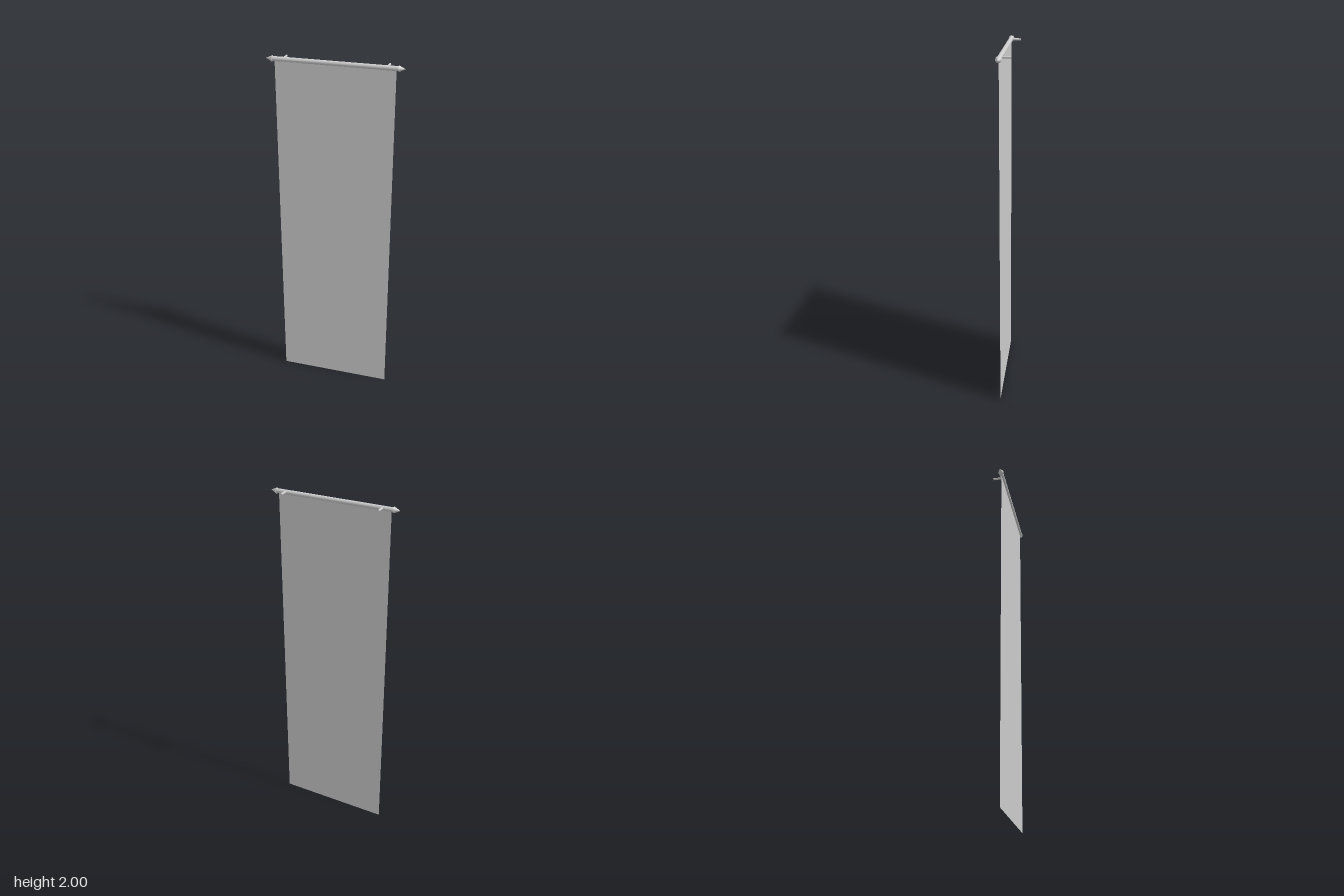
import * as THREE from 'three';

export function createModel() {
  const group = new THREE.Group();
  const metal = new THREE.MeshStandardMaterial({ color: 0xcccccc });
  const fabric = new THREE.MeshStandardMaterial({ color: 0xcccccc, side: THREE.DoubleSide });
  const rodY = 1.984, rodZ = 0.02, rodEnd = 0.338;

  const add = (name, geometry, material, x, y, z) => {
    const mesh = new THREE.Mesh(geometry, material);
    mesh.name = name;
    mesh.position.set(x, y, z);
    group.add(mesh);
    return mesh;
  };

  // Flat cloth hanging from the middle of the rod
  add('cloth', new THREE.PlaneGeometry(0.652, rodY), fabric, 0, rodY / 2, rodZ);

  // Horizontal rod
  const rod = new THREE.CylinderGeometry(0.0125, 0.0125, rodEnd * 2, 24).rotateZ(Math.PI / 2);
  add('rod', rod, metal, 0, rodY, rodZ);

  for (const side of [-1, 1]) {
    const label = side > 0 ? 'left' : 'right';

    // Pointed finial, slightly wider than the rod
    const cone = new THREE.ConeGeometry(0.0165, 0.035, 24).rotateZ(-side * Math.PI / 2);
    add(label + 'Finial', cone, metal, side * (rodEnd + 0.0175), rodY, rodZ);

    // Wall peg running back from the rod
    const peg = new THREE.CylinderGeometry(0.006, 0.006, 0.058, 16).rotateX(Math.PI / 2);
    add(label + 'WallPeg', peg, metal, side * 0.279, rodY + 0.003, -0.009);
  }
  return group;
}
